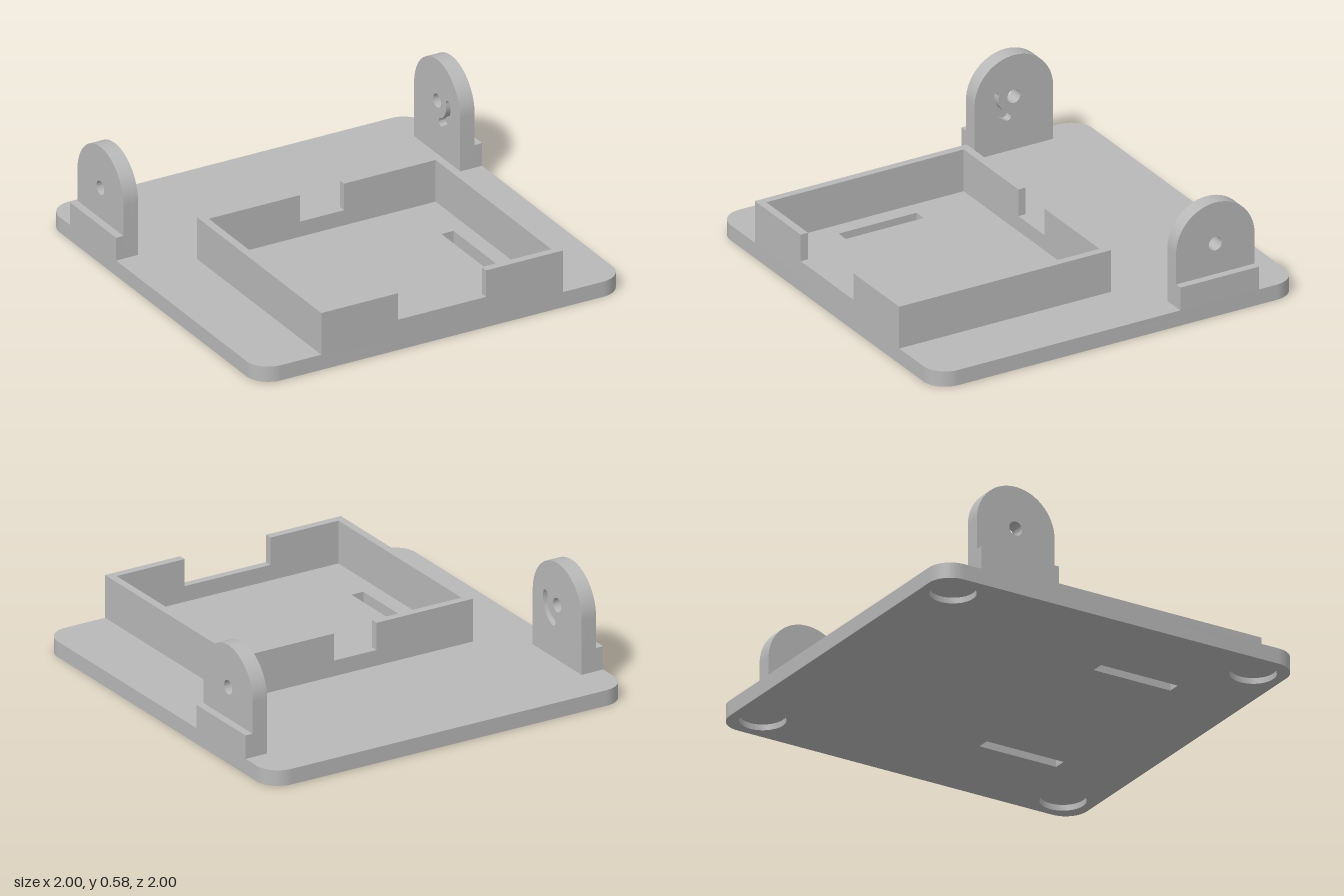
import * as THREE from 'three';
import { toCreasedNormals } from 'three/addons/utils/BufferGeometryUtils.js';

const grey = new THREE.MeshStandardMaterial({ color: 0xb8b8b8 });
grey.name = 'plain grey';

const polygon = (points, Type = THREE.Shape) => new Type(points.map(([x, y]) => new THREE.Vector2(x, y)));
const rectangle = (x0, x1, z0, z1, Type) => polygon([[x0, z0], [x1, z0], [x1, z1], [x0, z1]], Type);
const circle = (x, y, r) => new THREE.Path().absarc(x, y, r, 0, Math.PI * 2, false);

function extrude(shape, depth) {
  return new THREE.ExtrudeGeometry(shape, { depth, bevelEnabled: false, curveSegments: 20 });
}

function part(name, geometry) {
  const mesh = new THREE.Mesh(toCreasedNormals(geometry, 0.6), grey);
  mesh.name = name;
  return mesh;
}

// Plan shape in (x, z), filling the heights y0 to y1
const slab = (name, shape, y0, y1) =>
  part(name, extrude(shape, y1 - y0).rotateX(Math.PI / 2).translate(0, y1, 0));

// Side shape in (-z, y), filling x0 to x1
const sidePlate = (name, shape, x0, x1) =>
  part(name, extrude(shape, x1 - x0).rotateY(Math.PI / 2).translate(x0, 0, 0));

// Rounded square with two strap slots
function baseShape() {
  const r = 0.12, c = 1 - r, h = Math.PI / 2;
  const shape = new THREE.Shape();
  shape.absarc(c, c, r, 0, h, false);
  shape.absarc(-c, c, r, h, 2 * h, false);
  shape.absarc(-c, -c, r, 2 * h, 3 * h, false);
  shape.absarc(c, -c, r, 3 * h, 4 * h, false);
  shape.closePath();
  for (const s of [-1, 1]) {
    shape.holes.push(rectangle(s * 0.505 - 0.033, s * 0.505 + 0.033, 0.18, 0.61, THREE.Path));
  }
  return shape;
}

// Round-topped lug with a pivot hole
const PIVOT = [0.565, 0.36];
function lugShape() {
  const [u, v] = PIVOT, r = 0.217;
  const shape = new THREE.Shape();
  shape.moveTo(u - r, 0.08);
  shape.lineTo(u + r, 0.08);
  shape.absarc(u, v, r, 0, Math.PI, false);
  shape.closePath();
  shape.holes.push(circle(u, v, 0.036));
  return shape;
}

// Curved slot around the pivot
function arcSlot() {
  const [u, v] = PIVOT, r = 0.105, w = 0.02;
  const a = THREE.MathUtils.degToRad(168), b = THREE.MathUtils.degToRad(250);
  const path = new THREE.Path();
  path.absarc(u, v, r + w, a, b, false);
  path.absarc(u + r * Math.cos(b), v + r * Math.sin(b), w, b, b + Math.PI, false);
  path.absarc(u, v, r - w, b, a, true);
  path.absarc(u + r * Math.cos(a), v + r * Math.sin(a), w, a + Math.PI, a + 2 * Math.PI, false);
  return path;
}

export function createModel() {
  const model = new THREE.Group();
  model.name = 'mountingPlate';

  // Base plate, with round foot recesses in its lower layer
  const lower = baseShape();
  for (const x of [-0.84, 0.84]) {
    for (const z of [-0.84, 0.84]) lower.holes.push(circle(x, z, 0.112));
  }
  model.add(slab('baseUnderside', lower, 0, 0.03));
  model.add(slab('baseTop', baseShape(), 0.03, 0.08));

  // Tray wall: closed ring below, two C-shaped halves above the notches
  const X = 0.66, T = 0.04, Z0 = -0.17, Z1 = 1;
  const ring = rectangle(-X, X, Z0, Z1);
  ring.holes.push(rectangle(-X + T, X - T, Z0 + T, Z1 - T, THREE.Path));
  model.add(slab('trayLowerWall', ring, 0.08, 0.16));
  for (const [s, side] of [[1, 'left'], [-1, 'right']]) {
    const half = polygon([
      [s * 0.12, Z0], [s * X, Z0], [s * X, Z1], [s * 0.24, Z1],
      [s * 0.24, Z1 - T], [s * (X - T), Z1 - T], [s * (X - T), Z0 + T], [s * 0.12, Z0 + T],
    ]);
    model.add(slab(side + 'TrayUpperWall', half, 0.16, 0.3));

    // Hinge lug: slotted inner layer, plain outer layer, stepped foot
    const lug = new THREE.Group();
    lug.name = side + 'Lug';
    const span = (a, b) => (s > 0 ? [a, b] : [-b, -a]);
    const inner = lugShape();
    inner.holes.push(arcSlot());
    lug.add(sidePlate('lugInnerFace', inner, ...span(0.88, 0.92)));
    lug.add(sidePlate('lugOuterFace', lugShape(), ...span(0.92, 0.96)));
    const foot = rectangle(PIVOT[0] - 0.217, PIVOT[0] + 0.217, 0.08, 0.2);
    lug.add(sidePlate('lugFoot', foot, ...span(0.96, 1)));
    model.add(lug);
  }
  return model;
}
